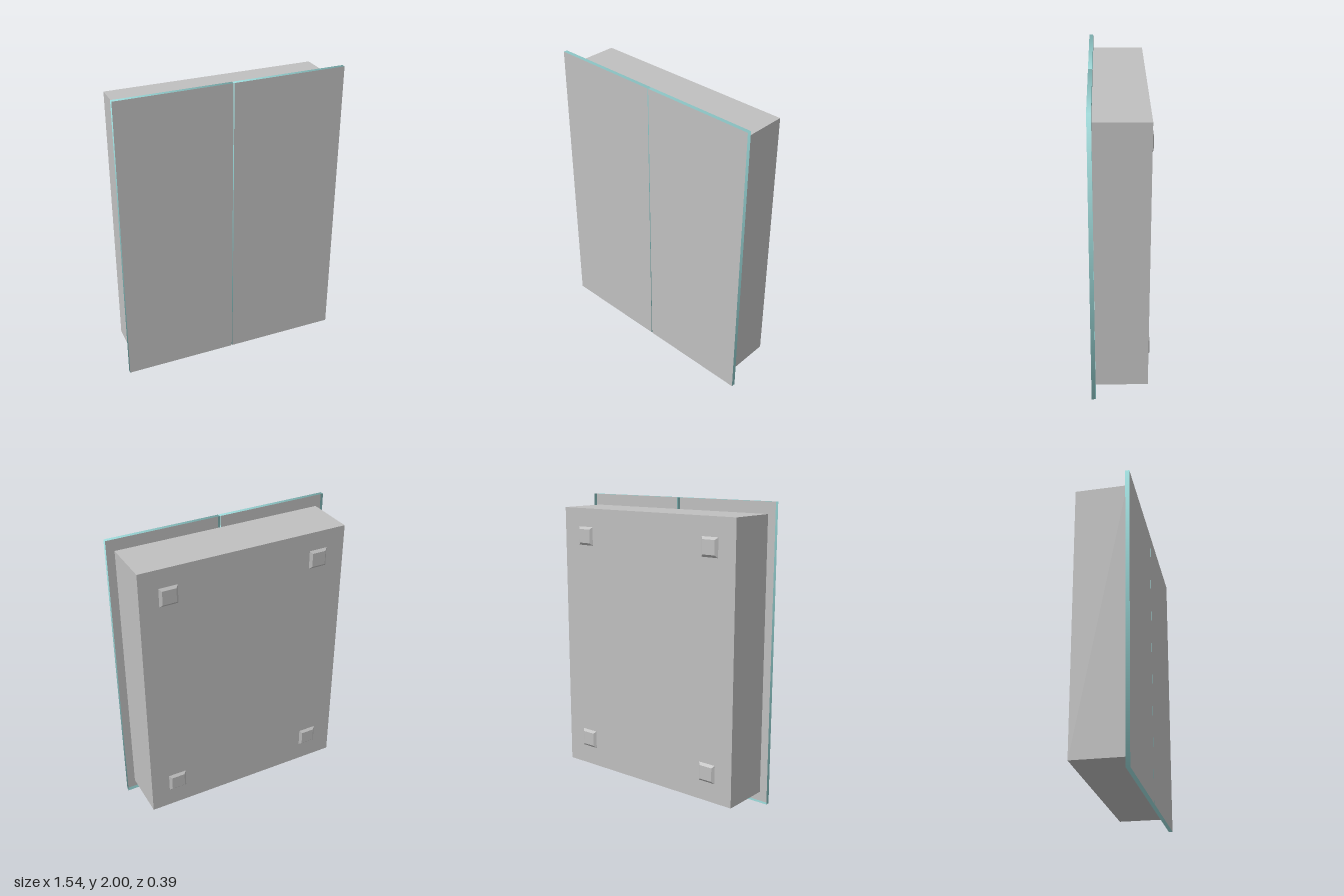
import * as THREE from 'three';

export function createModel() {
  const model = new THREE.Group();
  model.name = 'wallCabinet';

  const grey = new THREE.MeshStandardMaterial({ color: 0xc0c0c0, side: THREE.DoubleSide });
  grey.name = 'silver grey';
  const teal = new THREE.MeshStandardMaterial({ color: 0x99d6d6, side: THREE.DoubleSide });
  teal.name = 'glass edge teal';

  const add = (parent, name, geometry, material, x, y, z) => {
    const mesh = new THREE.Mesh(geometry, material);
    mesh.name = name;
    mesh.position.set(x, y, z);
    parent.add(mesh);
    return mesh;
  };

  // Four-sided ring or frustum around the z axis, spanning one unit in x, y and z
  const squarePrism = (frontScale, open) => {
    const r = Math.SQRT1_2;
    const g = new THREE.CylinderGeometry(r * frontScale, r, 1, 4, 1, open);
    return g.rotateY(Math.PI / 4).rotateX(Math.PI / 2);
  };

  // Cabinet body
  const bodyBack = -0.178, doorBack = 0.166, doorFront = 0.193;
  add(model, 'cabinetBody', new THREE.BoxGeometry(1.432, 1.846, doorBack - bodyBack), grey,
    0, 1, (bodyBack + doorBack) / 2);

  // Pair of mirror doors, each a front panel with a thin softly shaded glass edge
  const doorW = 0.767, doorH = 2, doorD = doorFront - doorBack;
  for (const side of [-1, 1]) {
    const door = new THREE.Group();
    door.name = side > 0 ? 'leftDoor' : 'rightDoor';
    door.position.set(side * (0.003 + doorW / 2), 1, 0);
    model.add(door);
    add(door, 'mirrorPanel', new THREE.PlaneGeometry(doorW, doorH), grey, 0, 0, doorFront);

    // Only the positions are stretched, so the corner normals stay diagonal
    const edge = squarePrism(1, true);
    edge.attributes.position.applyMatrix4(new THREE.Matrix4().makeScale(doorW, doorH, doorD));
    add(door, 'glassEdge', edge, teal, 0, 0, (doorBack + doorFront) / 2);
  }

  // Four bevelled wall pads on the back
  const padDepth = 0.015;
  const padGeometry = squarePrism(0.74, false).toNonIndexed();
  padGeometry.rotateY(Math.PI).scale(0.126, 0.126, padDepth);
  padGeometry.computeVertexNormals();
  for (const x of [-0.524, 0.524]) {
    for (const y of [0.272, 1.735]) {
      add(model, 'wallPad', padGeometry, grey, x, y, bodyBack - padDepth / 2);
    }
  }

  return model;
}
